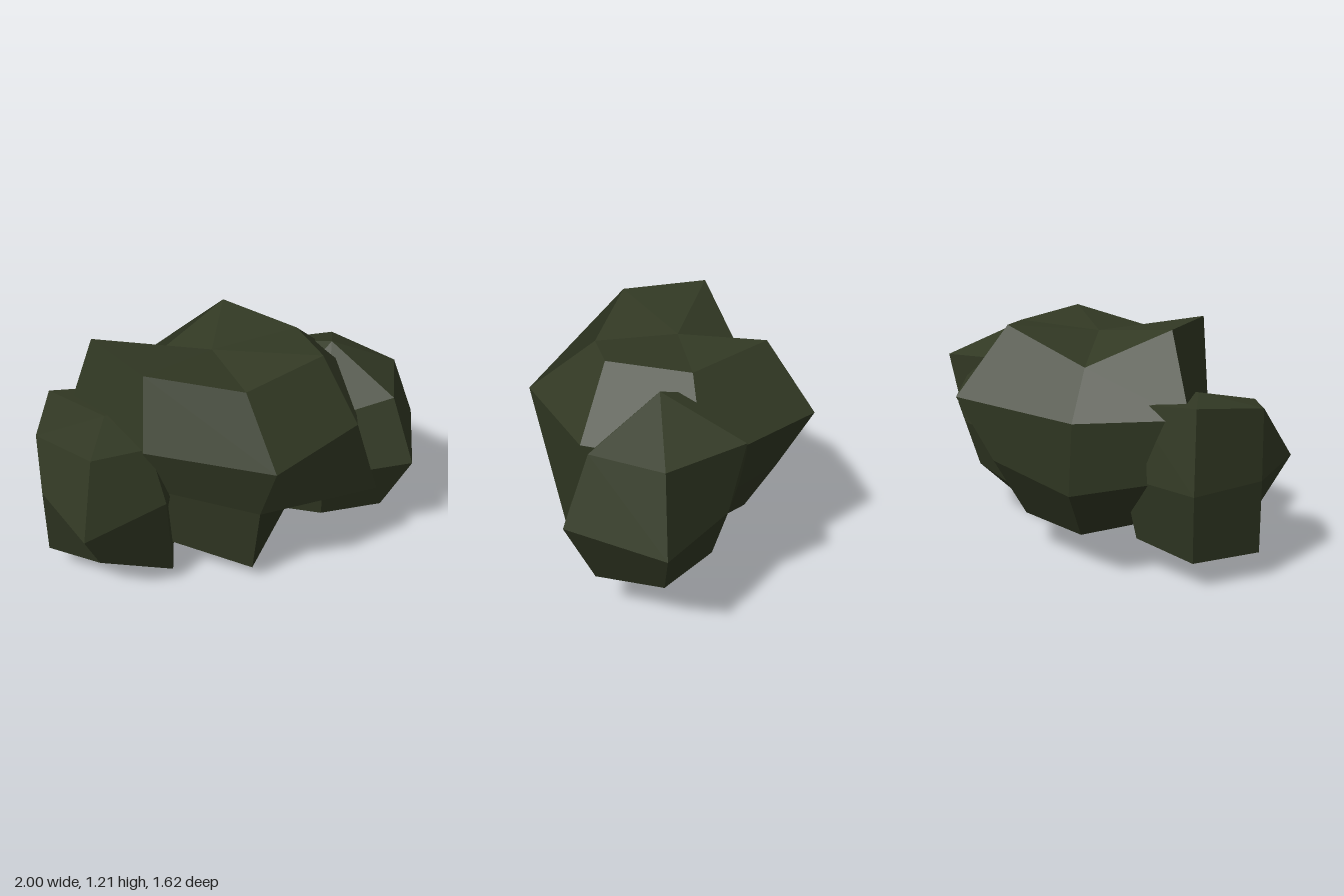
import * as THREE from 'three';

// Faceted clump: a coarse sphere whose points are pushed in or out.
// rings = one array of radii per ring, top to bottom; columns run from -z towards +x.
function clump(name, material, centre, scale, top, rings, bottom) {
  const n = rings[0].length;
  const point = (r, polar, turn) => new THREE.Vector3(
    r * Math.sin(polar) * Math.sin(turn) * scale[0],
    r * Math.cos(polar) * scale[1],
    -r * Math.sin(polar) * Math.cos(turn) * scale[2]
  );
  const grid = rings.map((ring, i) => ring.map((r, j) =>
    point(r, ((i + 1) / (rings.length + 1)) * Math.PI, (j / n) * Math.PI * 2)));
  const topPole = point(top, 0, 0);
  const bottomPole = point(bottom, Math.PI, 0);
  const positions = [];
  const normals = [];

  // Triangle or four-cornered facet with one normal for the whole facet
  const addFace = (...p) => {
    const normal = p[2].clone().sub(p[0]).cross(p[p.length - 1].clone().sub(p[1])).normalize();
    const corners = p.length === 4 ? [p[0], p[1], p[3], p[1], p[2], p[3]] : p;
    corners.forEach((corner) => {
      positions.push(...corner.toArray());
      normals.push(...normal.toArray());
    });
  };

  const lowest = grid[grid.length - 1];
  for (let j = 0; j < n; j++) {
    const k = (j + 1) % n;
    addFace(topPole, grid[0][k], grid[0][j]);
    for (let i = 0; i < grid.length - 1; i++) {
      addFace(grid[i][j], grid[i][k], grid[i + 1][k], grid[i + 1][j]);
    }
    addFace(bottomPole, lowest[j], lowest[k]);
  }

  const geometry = new THREE.BufferGeometry();
  geometry.setAttribute('position', new THREE.Float32BufferAttribute(positions, 3));
  geometry.setAttribute('normal', new THREE.Float32BufferAttribute(normals, 3));

  const mesh = new THREE.Mesh(geometry, material);
  mesh.name = name;
  mesh.position.set(...centre);
  return mesh;
}

export function createModel() {
  const group = new THREE.Group();
  group.name = 'bush';
  const foliage = new THREE.MeshStandardMaterial({ color: 0x323924 });
  foliage.name = 'dark foliage green';

  // Large middle clump
  group.add(clump('middleClump', foliage, [-0.09, 0.647, -0.05], [1.2, 0.8, 1], 0.6, [
    [0.83, 0.76, 0.83, 0.70, 0.87, 0.87, 0.55],
    [0.80, 0.81, 0.69, 0.79, 0.57, 0.665, 0.62],
    [0.61, 0.65, 0.80, 0.62, 0.50, 0.60, 0.69],
    [0.70, 0.70, 0.62, 0.87, 0.73, 0.65, 0.71],
  ], 0.69));

  // Side clump on +x, towards the back
  group.add(clump('leftClump', foliage, [0.52, 0.55, -0.25], [1, 0.9, 1], 0.62, [
    [0.62, 0.57, 0.55, 0.40, 0.42, 0.66],
    [0.36, 0.555, 0.535, 0.45, 0.50, 0.53],
    [0.40, 0.48, 0.53, 0.49, 0.60, 0.50],
  ], 0.59));

  // Side clump on -x, towards the front
  group.add(clump('rightClump', foliage, [-0.6, 0.5, 0.26], [1, 1, 1], 0.38, [
    [0.50, 0.50, 0.42, 0.45, 0.50, 0.555],
    [0.40, 0.45, 0.39, 0.55, 0.36, 0.46],
    [0.46, 0.50, 0.59, 0.45, 0.51, 0.51],
  ], 0.5));

  return group;
}
